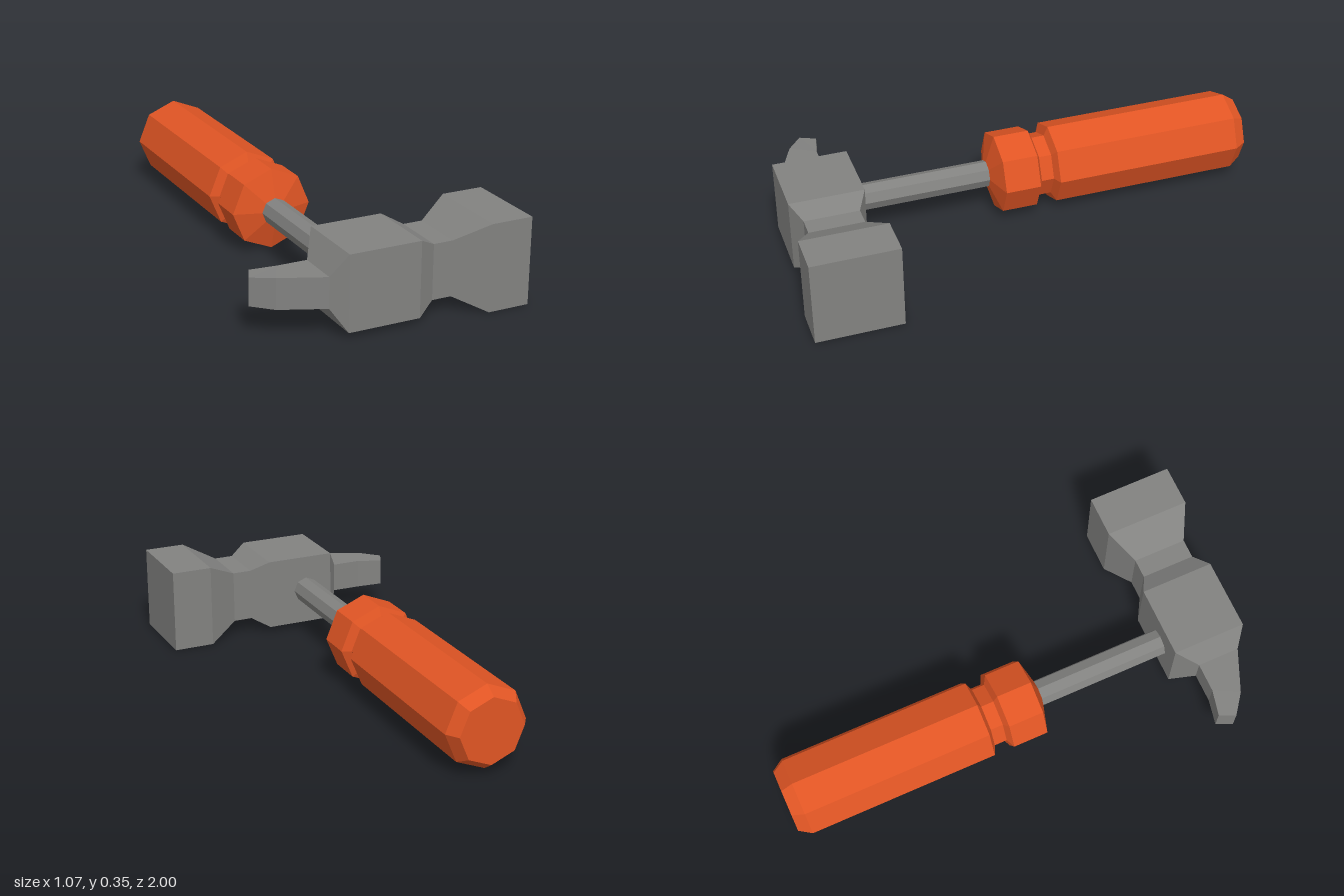
import * as THREE from 'three';

const AXIS_X = -0.1;
const AXIS_Y = 0.178;

// Split faces so every facet gets its own flat normal
function faceted(geometry) {
  const g = geometry.index ? geometry.toNonIndexed() : geometry;
  g.computeVertexNormals();
  return g;
}

// Eight-sided turned part running along z; profile is [radius, z] from back to front
function turned(name, profile, material) {
  const points = profile.map(([r, z]) => new THREE.Vector2(r, z));
  const geometry = new THREE.LatheGeometry(points, 8).rotateX(Math.PI / 2);
  const mesh = new THREE.Mesh(faceted(geometry), material);
  mesh.name = name;
  mesh.position.set(AXIS_X, AXIS_Y, 0);
  return mesh;
}

// Loft through four-cornered sections: [front x, front z, back x, back z, half height]
function loft(sections) {
  const positions = [];
  const index = [];
  for (const [xf, zf, xb, zb, h] of sections) {
    positions.push(xb, h, zb, xf, h, zf, xf, -h, zf, xb, -h, zb);
  }
  for (let i = 0; i < sections.length - 1; i++) {
    for (let j = 0; j < 4; j++) {
      const a = i * 4 + j;
      const b = i * 4 + ((j + 1) % 4);
      index.push(a, b, a + 4, b, b + 4, a + 4);
    }
  }
  const e = (sections.length - 1) * 4;
  index.push(0, 2, 1, 0, 3, 2, e, e + 1, e + 2, e, e + 2, e + 3);
  const geometry = new THREE.BufferGeometry();
  geometry.setAttribute('position', new THREE.Float32BufferAttribute(positions, 3));
  geometry.setIndex(index);
  return faceted(geometry);
}

export function createModel() {
  const steel = new THREE.MeshStandardMaterial({ color: 0x828280 });
  steel.name = 'grey steel';
  const grip = new THREE.MeshStandardMaterial({ color: 0xe05524 });
  grip.name = 'orange grip';

  const hammer = new THREE.Group();
  hammer.name = 'hammer';

  // Grip with chamfered butt, groove and front collar
  hammer.add(turned('handle', [
    [0, -1], [0.136, -1], [0.17, -0.95], [0.17, -0.155], [0.132, -0.138],
    [0.132, -0.085], [0.17, -0.068], [0.17, 0.08], [0.055, 0.115], [0, 0.115],
  ], grip));

  // Shaft between grip and head
  hammer.add(turned('shaft', [[0, 0.1], [0.056, 0.1], [0.056, 0.7], [0, 0.7]], steel));

  // Head: bent claw, centre block, neck and square striking face
  const square = (x, h) => [x, 0.823 + h, x, 0.823 - h, h];
  const head = new THREE.Mesh(loft([
    [-0.535, 0.8, -0.505, 0.735, 0.056],
    [-0.455, 0.86, -0.4, 0.758, 0.062],
    [-0.28, 0.935, -0.28, 0.758, 0.062],
    square(-0.22, 0.153),
    square(0.075, 0.153),
    square(0.15, 0.112),
    square(0.23, 0.112),
    square(0.36, 0.177),
    square(0.532, 0.177),
  ]), steel);
  head.name = 'head';
  head.position.y = AXIS_Y;
  hammer.add(head);

  return hammer;
}
